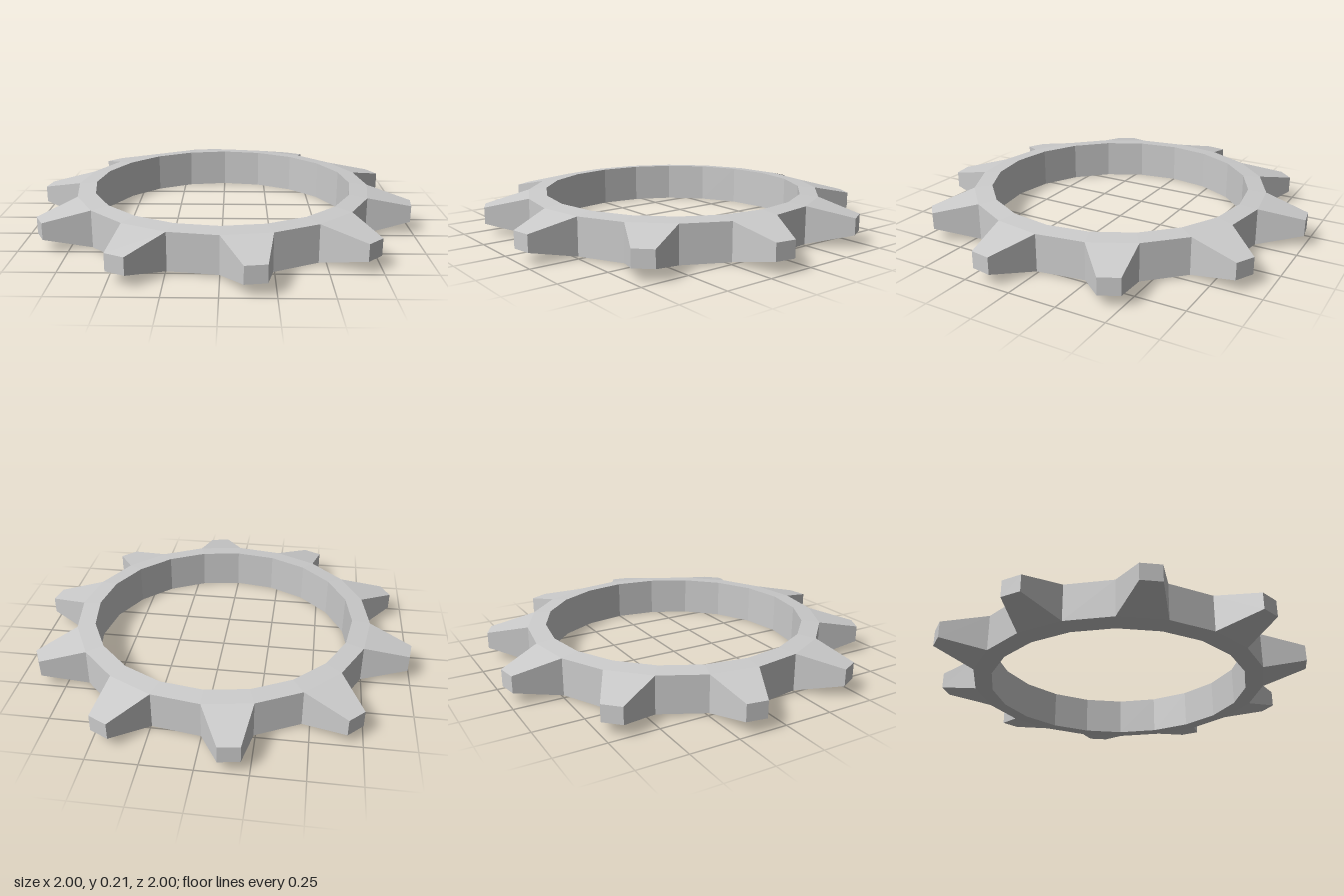
import * as THREE from 'three';

const TEETH = 10;
const STEP = Math.PI / TEETH; // one ring segment; every other one carries a tooth
const MID = 0.105;

// Radius and half height of the three rims
const BORE = { r: 0.69, h: 0.105 };
const ROOT = { r: 0.785, h: 0.096 };
const TIP = { r: 1.0055, h: 0.043 };

// Four corners of a rim: top start, top end, bottom end, bottom start
function corners({ r, h }, a0, a1) {
  const p = (a, y) => [r * Math.cos(a), y, r * Math.sin(a)];
  return [p(a0, MID + h), p(a1, MID + h), p(a1, MID - h), p(a0, MID - h)];
}

function mesh(name, quads, material) {
  const positions = quads.flatMap(([a, b, c, d]) => [a, b, c, a, c, d]).flat();
  const geometry = new THREE.BufferGeometry();
  geometry.setAttribute('position', new THREE.Float32BufferAttribute(positions, 3));
  geometry.computeVertexNormals();
  const m = new THREE.Mesh(geometry, material);
  m.name = name;
  return m;
}

export function createModel() {
  const group = new THREE.Group();
  group.name = 'sprocket';
  const material = new THREE.MeshStandardMaterial({ color: 0xcccccc, flatShading: true });

  // Faceted ring: top, bottom and bore, with an outer wall only in the gaps
  const ring = [];
  for (let i = 0; i < TEETH * 2; i++) {
    const n = corners(BORE, i * STEP, (i + 1) * STEP);
    const o = corners(ROOT, i * STEP, (i + 1) * STEP);
    ring.push([n[0], n[1], o[1], o[0]], [n[3], o[3], o[2], n[2]], [n[1], n[0], n[3], n[2]]);
    if (i % 2) ring.push(o);
  }
  group.add(mesh('ring', ring, material));

  // Teeth: tapered in width and thickness towards a flat tip
  for (let i = 0; i < TEETH; i++) {
    const a = i * 2 * STEP;
    const n = corners(ROOT, a, a + STEP);
    const o = corners(TIP, a + STEP / 3, a + STEP * 2 / 3);
    const tooth = [
      [n[0], n[1], o[1], o[0]], // top
      [n[3], o[3], o[2], n[2]], // bottom
      [n[0], o[0], o[3], n[3]], // flanks
      [n[1], n[2], o[2], o[1]],
      o, // tip
    ];
    group.add(mesh(`tooth${i + 1}`, tooth, material));
  }
  return group;
}
